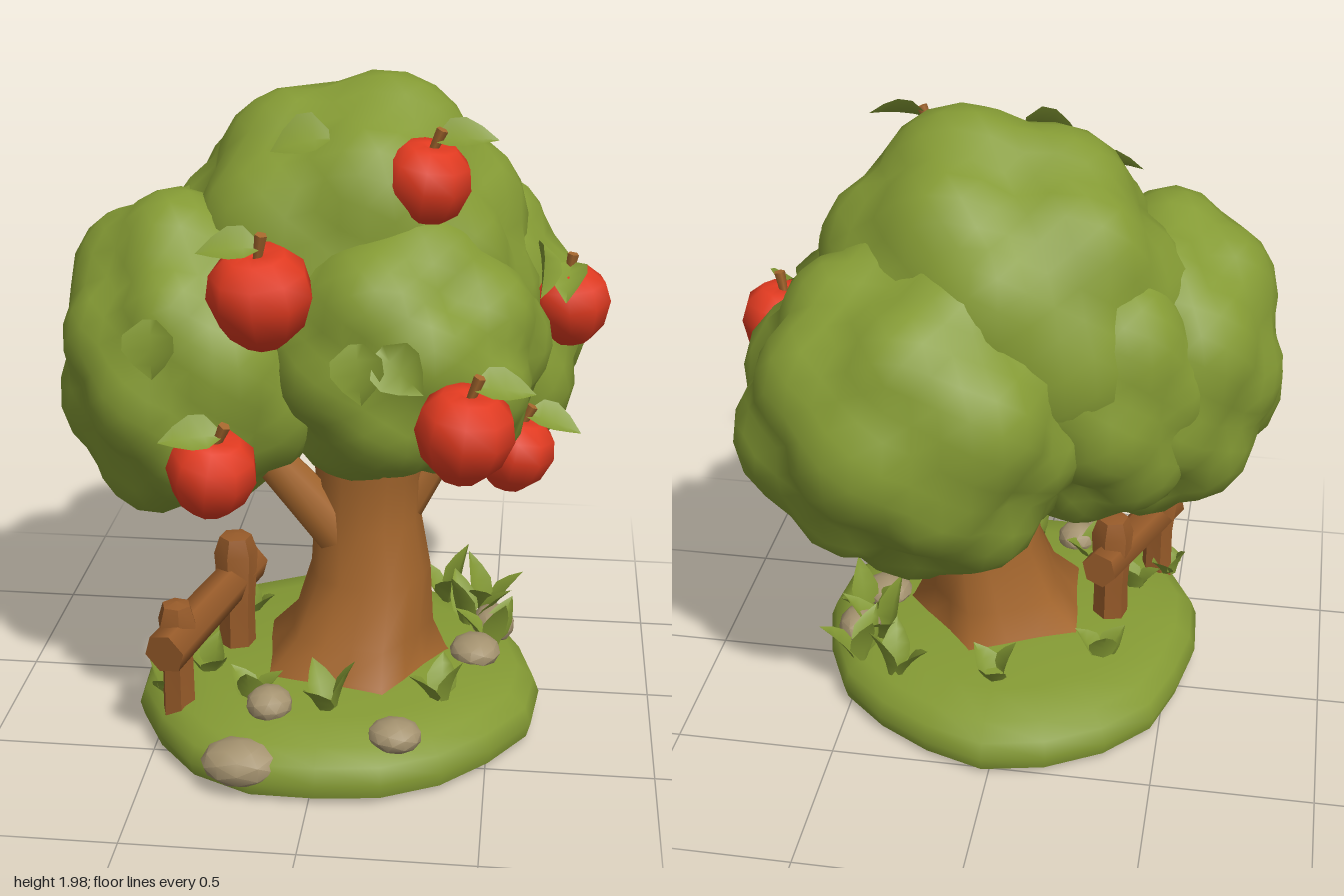
import * as THREE from 'three';
import { mergeVertices, toCreasedNormals } from 'three/addons/utils/BufferGeometryUtils.js';

const mat = (name, color, side = THREE.FrontSide) => {
  const m = new THREE.MeshStandardMaterial({ color, side });
  m.name = name;
  return m;
};
const V = (x, y, z) => new THREE.Vector3(x, y, z);
const UP = V(0, 1, 0);

export function createModel() {
  const green = mat('leaf green', 0x849a34, THREE.DoubleSide);
  const red = mat('apple red', 0xe03a20);
  const bark = mat('bark brown', 0xa4662d);
  const wood = mat('fence brown', 0x965a29);
  const stone = mat('stone', 0xa4926f);
  const root = new THREE.Group();
  root.name = 'appleTree';

  const add = (name, geo, material, pos = [0, 0, 0], parent = root) => {
    const mesh = new THREE.Mesh(geo, material);
    mesh.name = name;
    mesh.position.set(...pos);
    parent.add(mesh);
    return mesh;
  };
  // Move every vertex by a rule
  const warp = (geo, fn) => {
    const p = geo.attributes.position, v = V(0, 0, 0);
    for (let i = 0; i < p.count; i++) {
      fn(v.fromBufferAttribute(p, i));
      p.setXYZ(i, v.x, v.y, v.z);
    }
    geo.computeVertexNormals();
    return geo;
  };
  const weld = (geo) => {
    geo.deleteAttribute('uv');
    geo.deleteAttribute('normal');
    return mergeVertices(geo, 1e-4);
  };
  // Tapered bar between two points
  const limb = (name, a, b, r0, r1, sides, material, parent = root) => {
    const d = V(...b).sub(V(...a));
    const geo = new THREE.CylinderGeometry(r1, r0, d.length(), sides).translate(0, d.length() / 2, 0);
    const mesh = add(name, geo, material, a, parent);
    mesh.quaternion.setFromUnitVectors(UP, d.normalize());
  };
  // Folded, pointed leaf growing along a direction, its upper face towards a normal
  const leaf = (name, pos, dir, normal, length, width, parent = root) => {
    const geo = warp(new THREE.PlaneGeometry(1, 1, 2, 4), (v) => {
      const t = v.y + 0.5;
      const w = width * (Math.sin(Math.PI * Math.pow(t, 0.8)) + 0.3 * (1 - t));
      v.set(v.x * w, t * length, Math.abs(v.x) * w * 0.5 - 0.2 * length * t * t);
    });
    const y = V(...dir).normalize();
    const x = V(0, 0, 0).crossVectors(y, V(...normal)).normalize();
    const z = V(0, 0, 0).crossVectors(x, y);
    const mesh = add(name, geo, green, pos, parent);
    mesh.quaternion.setFromRotationMatrix(new THREE.Matrix4().makeBasis(x, y, z));
  };

  // Grassy mound
  const moundProfile = [[0, 0.012], [0.9, 0.015], [0.98, 0.03], [1, 0.075], [0.97, 0.125],
    [0.89, 0.165], [0.7, 0.195], [0, 0.21]].map((p) => new THREE.Vector2(...p));
  const mound = warp(weld(new THREE.LatheGeometry(moundProfile, 20)), (v) => {
    const a = Math.atan2(v.z, v.x);
    const k = 1 + 0.025 * Math.sin(3 * a + 1) + 0.015 * Math.sin(7 * a);
    v.set(0.02 + v.x * 0.62 * k, v.y, 0.125 + v.z * 0.65 * k);
  });
  add('grassMound', toCreasedNormals(mound, 0.95), green);

  // Trunk: sections of [centre x, y, centre z, radius x, radius z, root flare]
  const sections = [[0.06, 0.13, 0.14, 0.31, 0.3, 0.16], [0.06, 0.21, 0.14, 0.265, 0.27, 0.13],
    [0.085, 0.3, 0.13, 0.215, 0.225, 0.08], [0.115, 0.48, 0.11, 0.185, 0.19, 0.03],
    [0.105, 0.65, 0.11, 0.165, 0.165, 0.03], [0.11, 0.8, 0.12, 0.165, 0.15, 0.04],
    [0.12, 1.0, 0.13, 0.2, 0.17, 0.04]];
  const trunk = warp(weld(new THREE.CylinderGeometry(1, 1, 6, 15, 6, true)), (v) => {
    const [cx, y, cz, rx, rz, flare] = sections[Math.round(v.y + 3)];
    const k = 1 + flare * Math.cos(5 * Math.atan2(v.z, v.x) + 0.6);
    v.set(cx + v.x * rx * k, y, cz + v.z * rz * k);
  });
  add('trunk', trunk, bark);
  limb('rightBranch', [0.06, 0.58, 0.17], [-0.24, 0.96, 0.25], 0.085, 0.055, 8, bark);
  limb('leftBranch', [0.2, 0.66, 0.1], [0.37, 0.96, 0.06], 0.07, 0.06, 8, bark);

  // Foliage: large overlapping lobes covered with soft bumps
  const lobe = (name, pos, size, n, turn) => {
    const dirs = [];
    for (let i = 0; i < n; i++) {
      const y = 1 - (2 * (i + 0.5)) / n, r = Math.sqrt(1 - y * y), a = i * 2.39996 + turn;
      dirs.push(V(r * Math.cos(a), y, r * Math.sin(a)));
    }
    const reach = 2 / Math.sqrt(n);
    const geo = warp(weld(new THREE.IcosahedronGeometry(1, 6)), (v) => {
      let best = 0;
      dirs.forEach((d, i) => {
        const q = v.angleTo(d) / reach;
        best = Math.max(best, 1.03 - 0.03 * (i % 3) - 0.11 * q * q);
      });
      v.multiplyScalar(best).multiply(V(...size));
    });
    add(name, geo, green, pos);
  };
  lobe('crownTop', [0.05, 1.39, -0.05], [0.58, 0.6, 0.48], 22, 0.4);
  lobe('crownBack', [0.24, 1.17, -0.27], [0.54, 0.55, 0.51], 26, 1.3);
  lobe('crownRight', [-0.4, 1.17, 0.14], [0.43, 0.51, 0.48], 24, 2.2);
  lobe('crownFront', [0.2, 1.22, 0.16], [0.46, 0.43, 0.44], 21, 0.9);
  lobe('crownBackRight', [-0.22, 1.2, -0.1], [0.42, 0.46, 0.38], 20, 3.1);

  // Loose leaves lying on the crown: [base, direction, facing]
  [[[-0.45, 1.4, 0.56], [0, -1, 0.25], [0, 0.25, 1]], [[0.12, 1.36, 0.59], [0.1, -1, 0.3], [0, 0.3, 1]],
    [[0.18, 1.34, 0.58], [0.7, -0.6, 0.25], [0.1, 0.3, 1]], [[0.01, 1.85, 0.25], [-1, -0.1, 0.15], [0, 0.8, 0.6]],
    [[0.6, 1.5, 0.02], [0.2, -0.6, 0.5], [1, 0.4, 0.2]]]
    .forEach(([p, d, n]) => leaf('crownLeaf', p, d, n, 0.17, 0.13));

  // Apples: [centre, radius, tilt x, tilt z, leaf direction]
  const appleProfile = [[0, -0.8], [0.42, -0.9], [0.8, -0.52], [1, 0.08], [0.9, 0.55],
    [0.55, 0.88], [0.2, 0.9], [0, 0.78]].map((p) => new THREE.Vector2(...p));
  const appleGeo = toCreasedNormals(weld(new THREE.LatheGeometry(appleProfile, 9)), 0.9);
  [[[0.28, 1.72, 0.24], 0.13, 0.1, -0.15, [1, 0.35, 0.05]],
    [[-0.15, 1.46, 0.52], 0.15, 0.2, 0.05, [-1, 0.15, 0.2]],
    [[0.7, 1.29, -0.06], 0.125, 0.05, 0.1, [-0.1, -0.2, 1]],
    [[0.42, 1.12, 0.62], 0.14, 0.1, -0.1, [1, 0.1, -0.15]],
    [[-0.28, 0.97, 0.61], 0.13, 0.2, -0.15, [-1, 0, 0.35]],
    [[0.55, 0.87, 0.1], 0.122, 0, -0.2, [1, 0.05, 0.05]],
  ].forEach(([pos, r, tx, tz, dir]) => {
    const apple = new THREE.Group();
    apple.name = 'apple';
    apple.position.set(...pos);
    apple.rotation.set(tx, 0, tz);
    root.add(apple);
    add('appleFlesh', appleGeo, red, [0, 0, 0], apple).scale.setScalar(r);
    limb('appleStem', [0, r * 0.7, 0], [0.02, r * 1.28, 0], 0.012, 0.018, 5, bark, apple);
    leaf('appleLeaf', [0.01, r * 1.02, 0], dir, [0, 1, 0.5], 0.17, 0.1, apple);
  });

  // Fence: two stout posts with chipped tops and a rail
  [[-0.425, 0.46, 0.49, 0.055], [-0.3, 0.13, 0.57, 0.062]].forEach(([x, z, top, r], i) => {
    const profile = [[0.95, 0.12], [0.9, 0.32], [1.1, top - 0.06], [0.8, top - 0.005], [0, top + 0.005]]
      .map(([k, y]) => new THREE.Vector2(k * r, y));
    const post = add('fencePost', toCreasedNormals(weld(new THREE.LatheGeometry(profile, 6)), 0.4), wood, [x, 0, z]);
    post.rotation.y = 0.3 + i * 0.5;
  });
  limb('fenceRail', [-0.445, 0.37, 0.56], [-0.27, 0.43, 0.02], 0.066, 0.06, 6, wood);

  // Stones: [x, y, z, radius x, y, z]
  [[-0.2, 0.105, 0.69, 0.12, 0.07, 0.09], [0.24, 0.18, 0.62, 0.08, 0.05, 0.07],
    [-0.14, 0.21, 0.53, 0.07, 0.055, 0.07], [0.45, 0.205, 0.12, 0.08, 0.05, 0.085],
    [0.5, 0.2, -0.08, 0.07, 0.06, 0.085]].forEach(([x, y, z, ...s], i) => {
    const geo = toCreasedNormals(new THREE.IcosahedronGeometry(1, 1).rotateY(i).scale(...s), 0.6);
    add('stone', geo, stone, [x, y, z]);
  });

  // Grass tufts: [x, z, height]
  [[0.03, 0.5, 0.18], [-0.2, 0.46, 0.13], [-0.47, 0.42, 0.1], [-0.36, 0.3, 0.12], [0.36, 0.4, 0.16],
    [0.42, -0.1, 0.21], [0.47, -0.22, 0.19], [0.34, -0.28, 0.19], [0.5, 0.02, 0.18],
    [0.02, -0.27, 0.14], [-0.3, -0.1, 0.13]].forEach(([x, z, h], i) => {
    for (let k = 0; k < 3; k++) {
      const a = i * 1.7 + k * 2.1, c = Math.cos(a), s = Math.sin(a);
      const tilt = k ? 0.5 : 0.12;
      leaf('grassBlade', [x + 0.025 * c, 0.175, z + 0.025 * s], [tilt * c, 1, tilt * s],
        [-c, 0, -s], h * (k ? 0.85 : 1), 0.08);
    }
  });
  return root;
}
